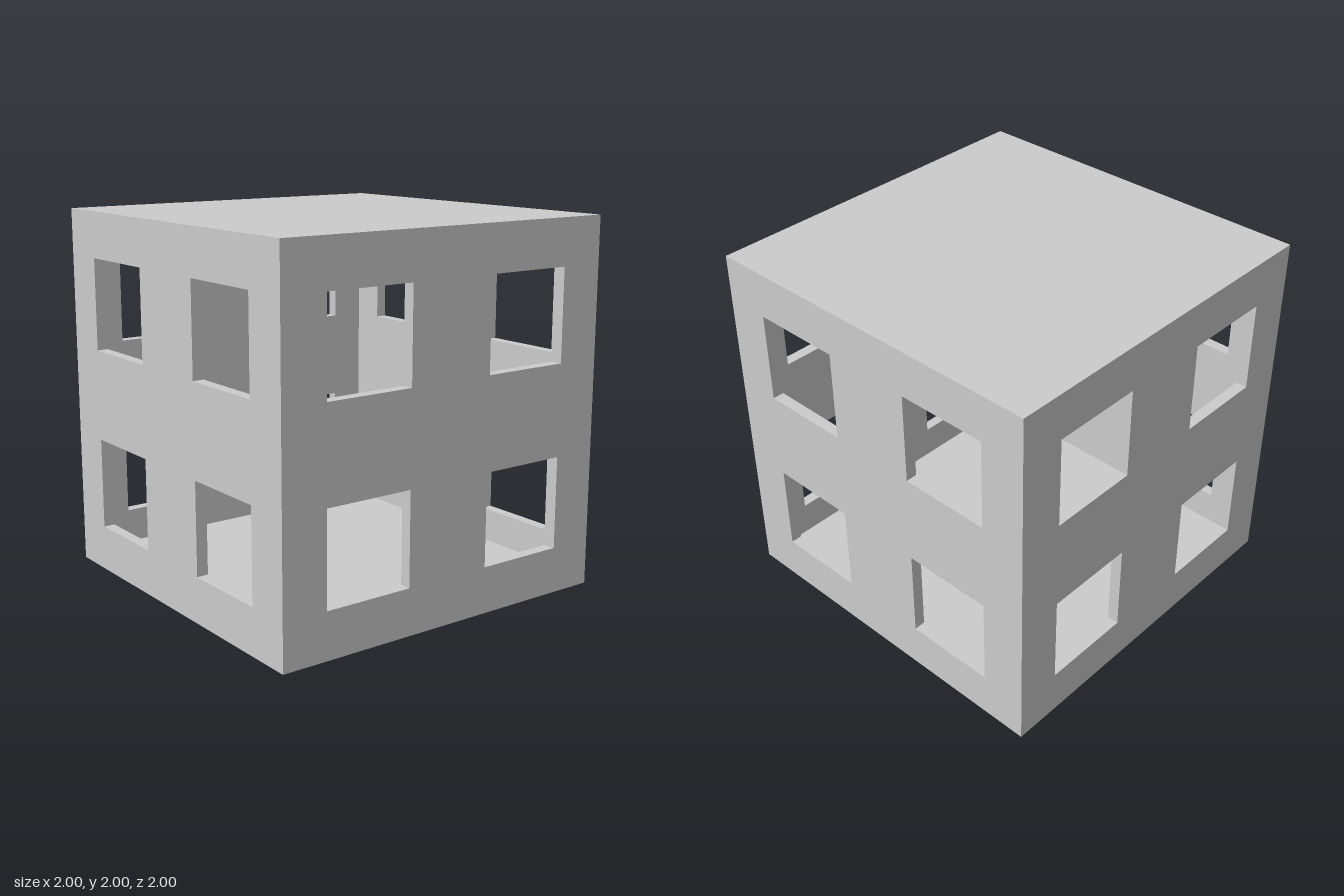
import * as THREE from 'three';

const SIZE = 2;       // outer edge of the cube
const WALL = 0.0625;  // shell thickness
const WINDOW = 0.5;   // window edge

// Rectangle outline centred on (x, y)
function rectangle(path, x, y, w, h) {
  path.moveTo(x - w / 2, y - h / 2);
  path.lineTo(x + w / 2, y - h / 2);
  path.lineTo(x + w / 2, y + h / 2);
  path.lineTo(x - w / 2, y + h / 2);
  path.closePath();
  return path;
}

// Wall panel with a two by two set of square windows, its outer face at z = SIZE / 2
function wallGeometry(width) {
  const shape = rectangle(new THREE.Shape(), 0, 0, width, SIZE - 2 * WALL);
  for (const x of [-0.5, 0.5]) {
    for (const y of [-0.5, 0.5]) {
      shape.holes.push(rectangle(new THREE.Path(), x, y, WINDOW, WINDOW));
    }
  }
  const geometry = new THREE.ExtrudeGeometry(shape, { depth: WALL, bevelEnabled: false });
  return geometry.translate(0, 0, SIZE / 2 - WALL);
}

export function createModel() {
  const model = new THREE.Group();
  model.name = 'windowedCube';
  const material = new THREE.MeshStandardMaterial({ color: 0xcccccc, flatShading: true });

  const add = (name, geometry, y, turn = 0) => {
    const mesh = new THREE.Mesh(geometry, material);
    mesh.name = name;
    mesh.position.y = y;
    mesh.rotation.y = turn;
    model.add(mesh);
  };

  // Floor and roof slabs
  const slab = new THREE.BoxGeometry(SIZE, WALL, SIZE);
  add('floor', slab, WALL / 2);
  add('roof', slab, SIZE - WALL / 2);

  // Front and back run full width, the side walls fit between them
  const wide = wallGeometry(SIZE);
  const narrow = wallGeometry(SIZE - 2 * WALL);
  ['frontWall', 'leftWall', 'backWall', 'rightWall'].forEach((name, i) => {
    add(name, i % 2 ? narrow : wide, SIZE / 2, i * Math.PI / 2);
  });

  return model;
}
